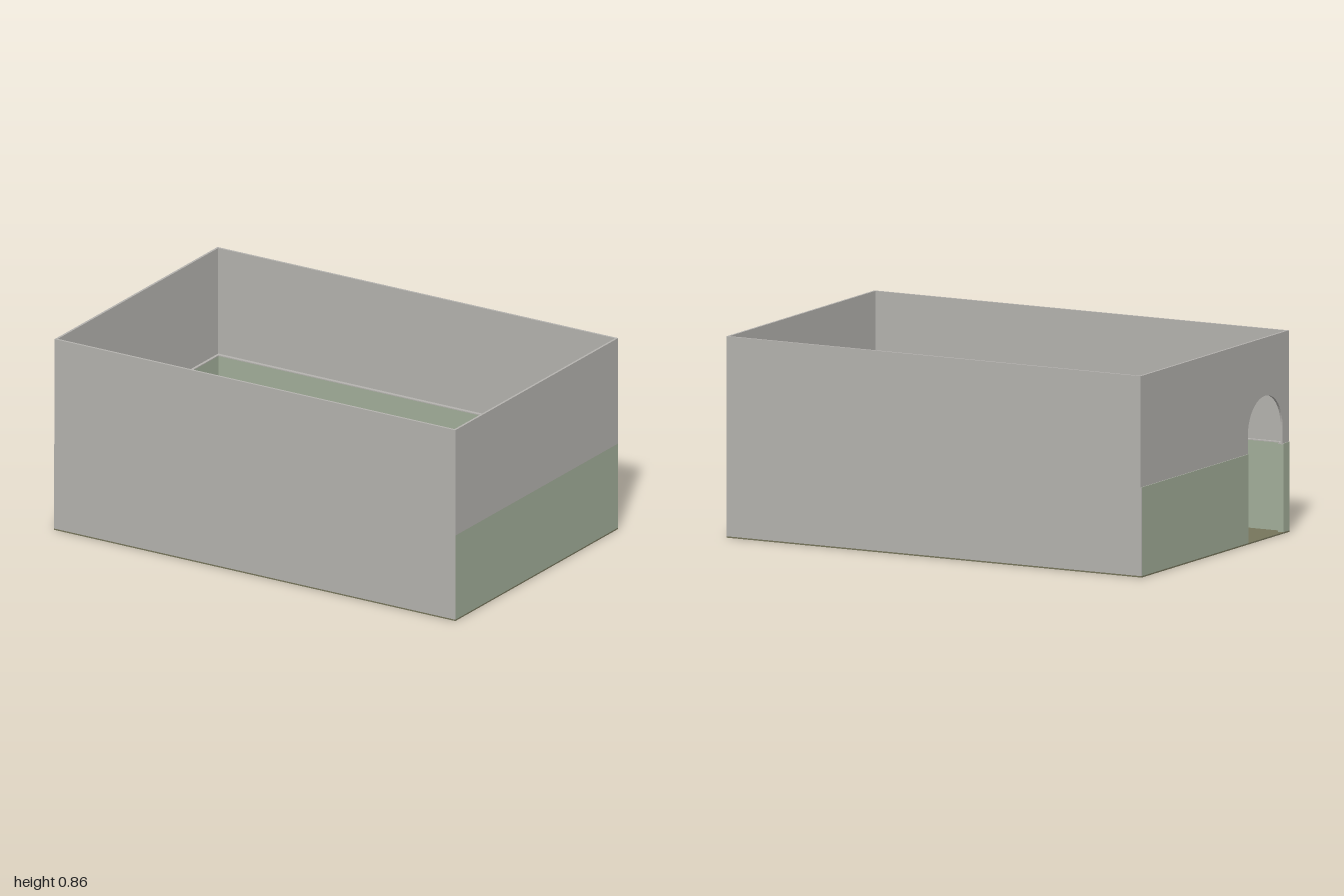
import * as THREE from 'three';

export function createModel() {
  const room = new THREE.Group();
  room.name = 'room';

  const material = (name, color) => {
    const m = new THREE.MeshStandardMaterial({ color });
    m.name = name;
    return m;
  };
  const plaster = material('grey plaster', 0xb5b3af);
  const green = material('pale green', 0xa3af9a);
  const olive = material('olive floor', 0x77765c);

  const X = 1, Z = 0.64, H = 0.86;        // outer half sizes and height
  const F = 0.006;                        // floor thickness
  const RAIL = 0.385, CAP = 0.004;        // wainscot height and its cap
  const T = 0.01, W = 0.026, SKIN = 0.002; // wall, wainscot and outer skin thickness
  const STEP = 0.004;                     // setback of the wall over the doorway side
  const DOOR = { z: 0.435, r: 0.15, spring: 0.462 };

  // Box given by its lower and upper corners
  function box(name, mat, x0, x1, y0, y1, z0, z1) {
    const mesh = new THREE.Mesh(new THREE.BoxGeometry(x1 - x0, y1 - y0, z1 - z0), mat);
    mesh.position.set((x0 + x1) / 2, (y0 + y1) / 2, (z0 + z1) / 2);
    mesh.name = name;
    room.add(mesh);
  }

  box('floor', olive, -X, X, 0, F, -Z, Z);

  // Front and back: thin upper wall, green wainscot inside, grey skin outside
  for (const [side, s] of [['front', 1], ['back', -1]]) {
    const span = (a, b) => (s > 0 ? [a, b] : [-b, -a]);
    box(side + 'Wall', plaster, -X + STEP, X, RAIL, H, ...span(Z - T, Z));
    box(side + 'OuterSkin', plaster, -X, X, F, RAIL, ...span(Z - SKIN, Z));
    box(side + 'Wainscot', green, -X + W, X - W, F, RAIL - CAP, ...span(Z - W, Z - SKIN));
    box(side + 'Ledge', plaster, -X + W, X - W, RAIL - CAP, RAIL, ...span(Z - W, Z - SKIN));
  }

  // Left side: solid wall over a full-depth wainscot
  const zi = Z - SKIN;
  box('leftWall', plaster, X - T, X, RAIL, H, -Z + T, Z - T);
  box('leftWainscot', green, X - W, X, F, RAIL - CAP, -zi, zi);
  box('leftOuterEdge', green, X - SKIN, X, RAIL - CAP, RAIL, -zi, zi);
  box('leftLedge', plaster, X - W, X - SKIN, RAIL - CAP, RAIL, -zi, zi);

  // Right side: wainscot interrupted by the doorway
  const d0 = DOOR.z - DOOR.r, d1 = DOOR.z + DOOR.r;
  for (const [a, b] of [[-zi, d0], [d1, zi]]) {
    box('rightWainscot', green, -X, -X + W, F, RAIL - CAP, a, b);
    box('rightOuterEdge', green, -X, -X + SKIN, RAIL - CAP, RAIL, a, b);
    box('rightLedge', plaster, -X + SKIN, -X + W, RAIL - CAP, RAIL, a, b);
  }

  // Right upper wall with the arch cut from its lower edge
  const shape = new THREE.Shape();
  shape.moveTo(-Z + T, RAIL);
  shape.lineTo(d0, RAIL);
  shape.lineTo(d0, DOOR.spring);
  shape.absarc(DOOR.z, DOOR.spring, DOOR.r, Math.PI, 0, true);
  shape.lineTo(d1, RAIL);
  shape.lineTo(Z - T, RAIL);
  shape.lineTo(Z - T, H);
  shape.lineTo(-Z + T, H);
  shape.closePath();
  const geo = new THREE.ExtrudeGeometry(shape, { depth: T, bevelEnabled: false, curveSegments: 16 });
  geo.rotateY(-Math.PI / 2);
  geo.translate(-X + STEP + T, 0, 0);
  const archWall = new THREE.Mesh(geo, plaster);
  archWall.name = 'rightArchWall';
  room.add(archWall);

  return room;
}
